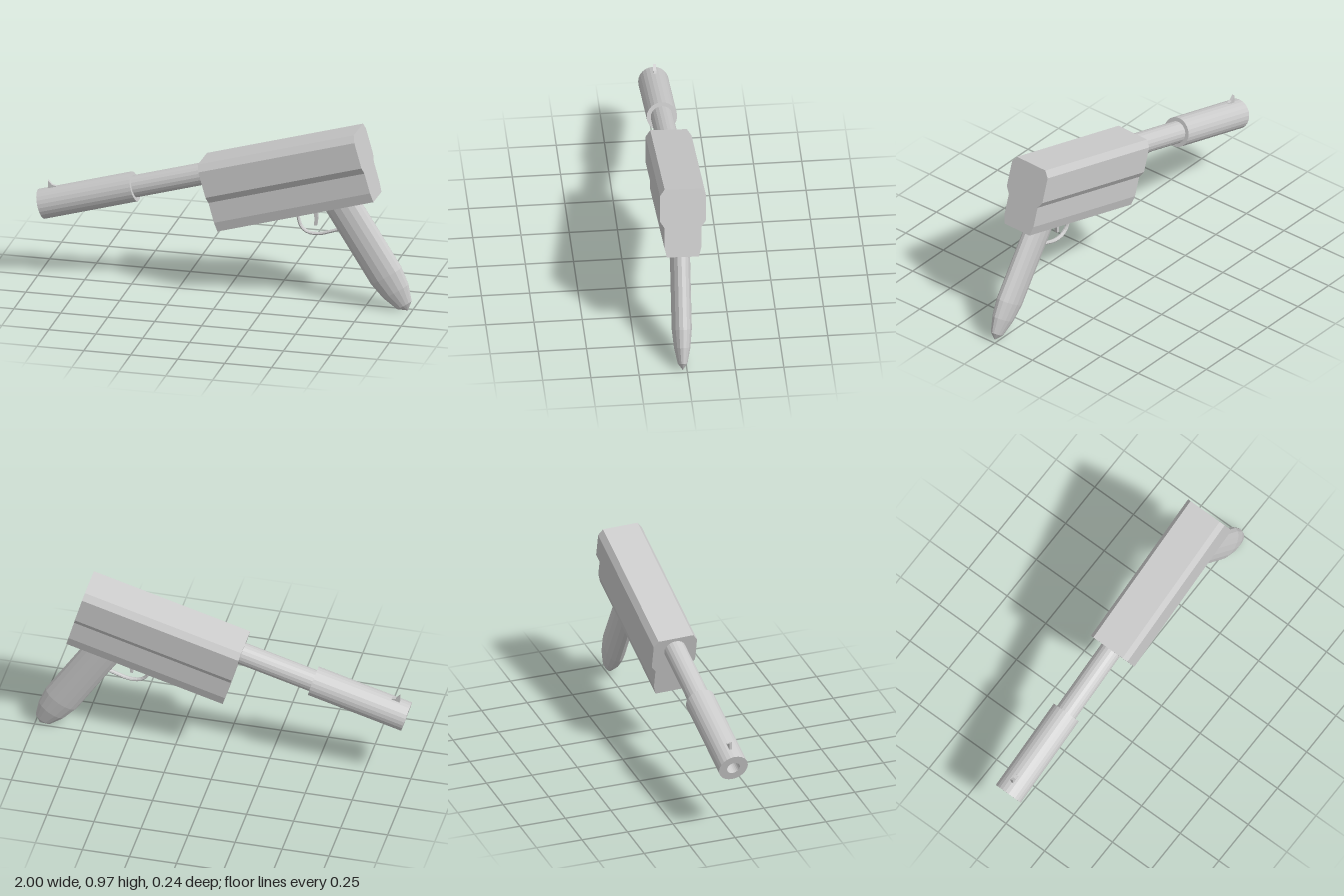
import * as THREE from 'three';

export function createModel() {
  const model = new THREE.Group();
  const gun = new THREE.Group();
  gun.name = 'pistol';
  // Parts are laid out level (x along the barrel), then tilted and rolled slightly.
  gun.rotation.set(-0.025, 0, 0.281, 'ZXY');
  gun.position.set(-0.02, 0.37, 0.006);
  model.add(gun);

  const material = new THREE.MeshStandardMaterial({ color: 0xcccccc, flatShading: true });

  function add(name, geometry) {
    const mesh = new THREE.Mesh(geometry, material);
    mesh.name = name;
    gun.add(mesh);
    return mesh;
  }
  const points = list => list.map(([x, y]) => new THREE.Vector2(x, y));
  function extrude(outline, depth) {
    return new THREE.ExtrudeGeometry(new THREE.Shape(points(outline)), { depth, bevelEnabled: false });
  }
  // Thin side profile centred on z = 0
  const plate = (outline, depth) => extrude(outline, depth).translate(0, 0, -depth / 2);

  // Body: mirrored cross-section with a stepped waist and chamfered corners
  const half = [[0.083, 0], [0.096, 0.053], [0.096, 0.163], [0.119, 0.199], [0.119, 0.34], [0.095, 0.375]];
  const section = [...half, ...half.map(([z, y]) => [-z, y]).reverse()];
  add('body', extrude(section, 0.865).rotateY(Math.PI / 2));

  // Barrel and the wider, bored-out muzzle sleeve
  const axisY = 0.297;
  add('barrel', new THREE.CylinderGeometry(0.058, 0.058, 0.5, 20).rotateZ(-Math.PI / 2).translate(-0.21, axisY, 0));
  const sleeve = [[0, -0.8], [0.035, -0.8], [0.035, -0.912], [0.079, -0.912], [0.079, -0.396], [0.05, -0.396]];
  add('muzzleSleeve', new THREE.LatheGeometry(points(sleeve), 24).rotateZ(-Math.PI / 2).translate(0, axisY, 0));

  // Front sight fin
  add('frontSight', plate([[-0.857, 0.36], [-0.806, 0.36], [-0.808, 0.378], [-0.828, 0.388], [-0.843, 0.417]], 0.016));

  // Grip: oval handle tapering to a blunt point
  const gripProfile = [[0, -0.714], [0.047, -0.68], [0.08, -0.595], [0.097, -0.5], [0.097, 0], [0, 0]];
  const grip = add('grip', new THREE.LatheGeometry(points(gripProfile), 16).scale(1, 1, 0.54));
  grip.position.set(0.652, 0.057, 0);
  grip.rotation.z = 0.29;

  // Trigger guard loop
  const guardPath = new THREE.CatmullRomCurve3(
    [[0.423, 0.02], [0.42, -0.075], [0.446, -0.113], [0.502, -0.134], [0.565, -0.134], [0.66, -0.127]]
      .map(([x, y]) => new THREE.Vector3(x, y, 0)));
  add('triggerGuard', new THREE.TubeGeometry(guardPath, 16, 0.009, 8).scale(1, 1, 1.3));

  // Trigger
  add('trigger', plate([[0.512, 0.02], [0.506, -0.04], [0.493, -0.085], [0.506, -0.088], [0.524, -0.045], [0.536, 0.02]], 0.018));

  return model;
}
